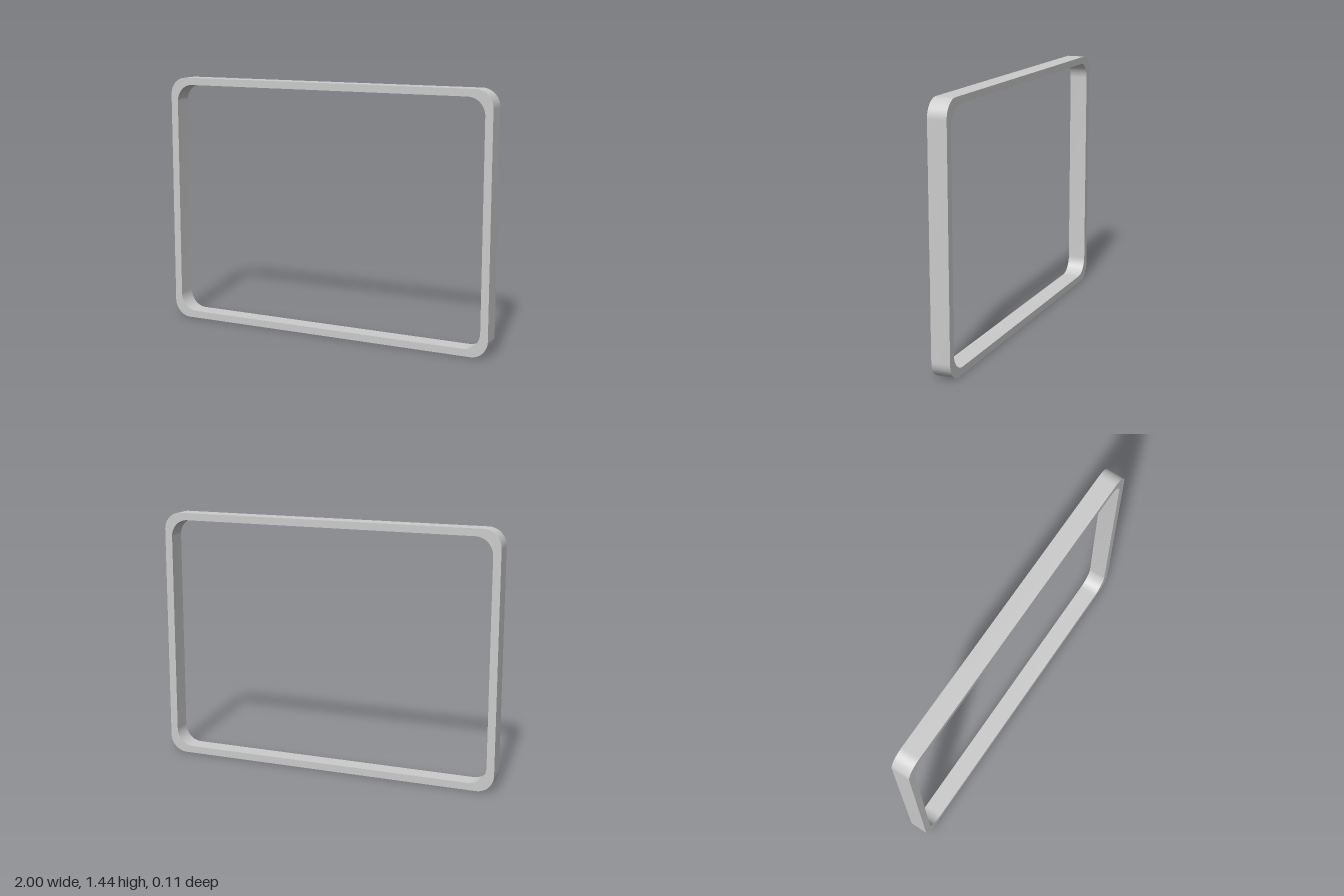
import * as THREE from 'three';
import { toCreasedNormals } from 'three/addons/utils/BufferGeometryUtils.js';

const WIDTH = 2, HEIGHT = 1.444, DEPTH = 0.106;
const SIDE = 0.044, RAIL = 0.041, RADIUS = 0.1;

// Rounded rectangle centred on the origin, drawn counter-clockwise
function roundedRect(path, width, height, r) {
  const x = width / 2 - r, y = height / 2 - r;
  path.moveTo(x + r, -y);
  path.absarc(x, y, r, 0, Math.PI / 2);
  path.absarc(-x, y, r, Math.PI / 2, Math.PI);
  path.absarc(-x, -y, r, Math.PI, Math.PI * 1.5);
  path.absarc(x, -y, r, Math.PI * 1.5, Math.PI * 2);
  return path;
}

export function createModel() {
  const group = new THREE.Group();
  group.name = 'roundedFrame';

  // Frame outline with the opening cut through it
  const outline = roundedRect(new THREE.Shape(), WIDTH, HEIGHT, RADIUS);
  outline.holes.push(roundedRect(new THREE.Path(), WIDTH - 2 * SIDE, HEIGHT - 2 * RAIL, RADIUS));

  const extruded = new THREE.ExtrudeGeometry(outline, {
    depth: DEPTH, bevelEnabled: false, curveSegments: 16,
  });
  extruded.translate(0, HEIGHT / 2, -DEPTH / 2);

  // Smooth round corners, sharp front and back edges
  const frame = new THREE.Mesh(
    toCreasedNormals(extruded, Math.PI / 6),
    new THREE.MeshStandardMaterial({ color: 0xcccccc }),
  );
  frame.name = 'frame';
  group.add(frame);
  return group;
}
